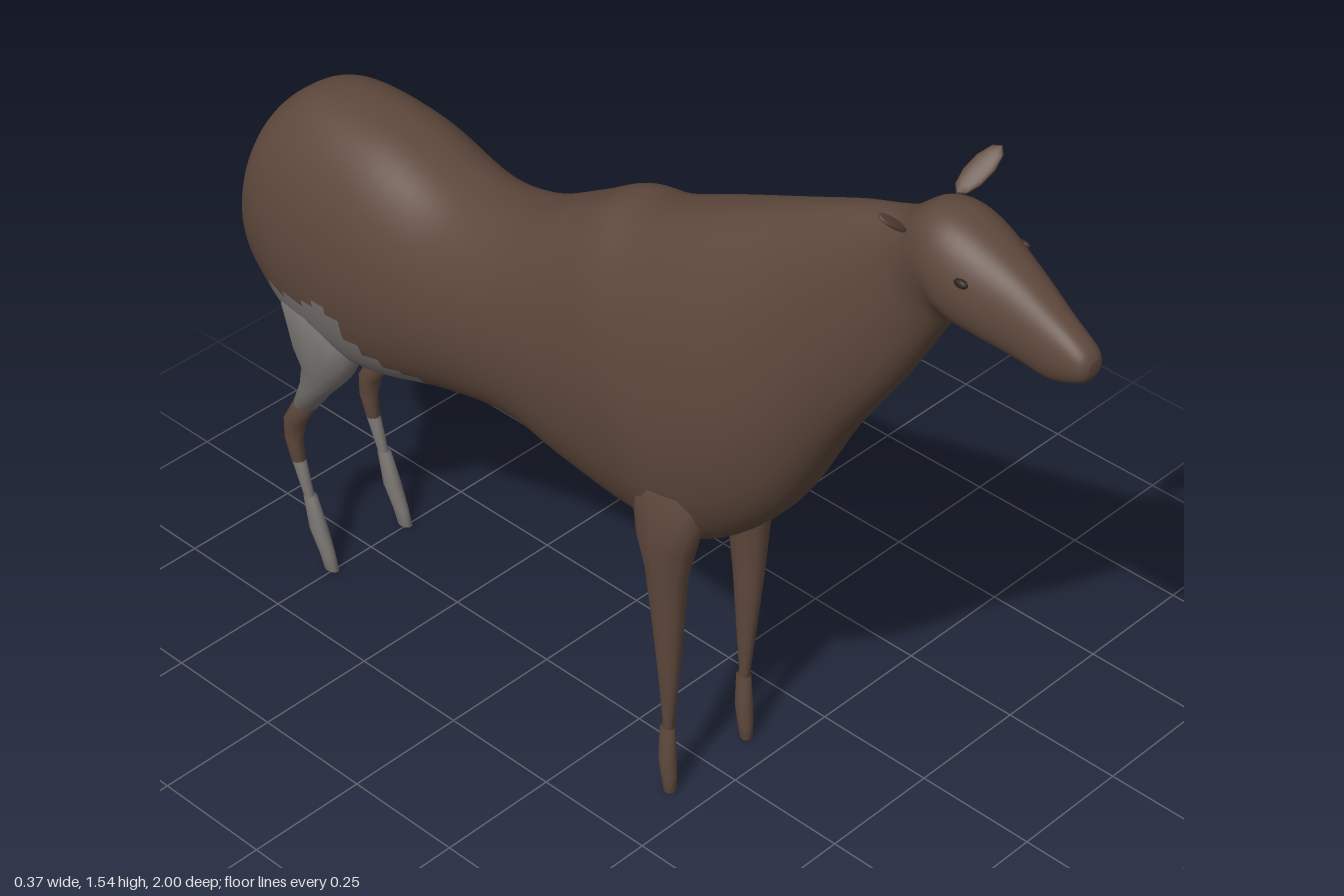
import * as THREE from 'three';

const brown = new THREE.MeshStandardMaterial({ color: 0x5e483c });
brown.name = 'brown coat';
const grey = new THREE.MeshStandardMaterial({ color: 0x77726f });
grey.name = 'grey hindquarter';
const dark = new THREE.MeshStandardMaterial({ color: 0x30251f });
dark.name = 'dark eye';

// Skin a list of closed rings, closing both ends; isSecond(centre) picks material 1
function loft(rings, isSecond) {
  const n = rings[0].length, pos = [], tris = [[], []];
  rings.forEach((r) => r.forEach((p) => pos.push(p.x, p.y, p.z)));
  const caps = [rings[0], rings[rings.length - 1]].map((r) => {
    const c = r.reduce((s, p) => s.add(p), new THREE.Vector3()).divideScalar(n);
    pos.push(c.x, c.y, c.z);
    return pos.length / 3 - 1;
  });
  const c = new THREE.Vector3();
  const last = (rings.length - 1) * n;
  for (let i = 0; i < n; i++) {
    const k = (i + 1) % n;
    for (let j = 0; j < rings.length - 1; j++) {
      c.addVectors(rings[j][i], rings[j + 1][k]).multiplyScalar(0.5);
      const a = j * n + i, b = j * n + k;
      tris[isSecond && isSecond(c) ? 1 : 0].push(a, a + n, b, b, a + n, b + n);
    }
    tris[0].push(caps[0], i, k, caps[1], last + k, last + i);
  }
  const g = new THREE.BufferGeometry();
  g.setAttribute('position', new THREE.Float32BufferAttribute(pos, 3));
  g.setIndex([...tris[0], ...tris[1]]);
  if (isSecond) {
    g.addGroup(0, tris[0].length, 0);
    g.addGroup(tris[0].length, tris[1].length, 1);
  }
  g.computeVertexNormals();
  return g;
}

// Catmull-Rom refinement of rows of numbers
function refine(rows, steps) {
  const out = [], at = (i) => rows[Math.min(Math.max(i, 0), rows.length - 1)];
  for (let i = 0; i < rows.length - 1; i++) {
    for (let s = 0; s < steps; s++) {
      const t = s / steps;
      out.push(rows[i].map((b, k) => {
        const a = at(i - 1)[k], c = at(i + 1)[k], d = at(i + 2)[k];
        return b + 0.5 * t * (c - a + t * (2 * a - 5 * b + 4 * c - d + t * (3 * (b - c) + d - a)));
      }));
    }
  }
  out.push(rows[rows.length - 1]);
  return out;
}

// Body, neck and head: top z, top y, bottom z, bottom y, half width
const sections = [
  [-0.955, 0.85, -0.955, 0.74, 0.07],
  [-0.93, 0.95, -0.935, 0.65, 0.12],
  [-0.87, 1.04, -0.89, 0.6, 0.155],
  [-0.77, 1.09, -0.78, 0.53, 0.177],
  [-0.6, 1.085, -0.62, 0.53, 0.182],
  [-0.42, 1.04, -0.42, 0.59, 0.165],
  [-0.27, 1.065, -0.24, 0.62, 0.16],
  [-0.13, 1.14, -0.1, 0.59, 0.165],
  [-0.03, 1.2, 0.08, 0.57, 0.175],
  [0.06, 1.22, 0.22, 0.585, 0.18],
  [0.2, 1.285, 0.37, 0.72, 0.16],
  [0.36, 1.36, 0.5, 0.95, 0.11],
  [0.49, 1.42, 0.61, 1.12, 0.08],
  [0.56, 1.445, 0.69, 1.26, 0.068],
  [0.61, 1.465, 0.73, 1.315, 0.072],
  [0.67, 1.51, 0.77, 1.315, 0.085],
  [0.74, 1.51, 0.81, 1.31, 0.08],
  [0.84, 1.465, 0.87, 1.3, 0.06],
  [0.93, 1.41, 0.93, 1.29, 0.043],
  [0.985, 1.375, 0.985, 1.31, 0.03],
  [1.0, 1.355, 1.0, 1.33, 0.014],
];

// Upper edge of the grey patch, as z, y
const greyEdge = [[-0.96, 0.63], [-0.9, 0.65], [-0.82, 0.69], [-0.72, 0.71],
  [-0.65, 0.74], [-0.58, 0.65], [-0.45, 0.62], [-0.38, 0.58]];
function inGrey(p) {
  for (let i = 0; i < greyEdge.length - 1; i++) {
    const [z0, y0] = greyEdge[i], [z1, y1] = greyEdge[i + 1];
    if (p.z >= z0 && p.z < z1) return p.y < y0 + ((y1 - y0) * (p.z - z0)) / (z1 - z0);
  }
  return false;
}

function bodyGeometry() {
  const n = 96;
  const rings = refine(sections, 5).map(([tz, ty, bz, by, w]) =>
    Array.from({ length: n }, (_, i) => {
      const a = (i / n) * Math.PI * 2, t = (1 - Math.cos(a)) / 2, s = Math.sin(a);
      return new THREE.Vector3(w * Math.sign(s) * Math.abs(s) ** 0.85,
        ty + (by - ty) * t, tz + (bz - tz) * t);
    }));
  return loft(rings, inGrey);
}

// Limb from horizontal rings: x, y, z, x radius, z radius
function limb(rows, n = 12) {
  return loft(rows.map(([x, y, z, rx, rz]) => Array.from({ length: n }, (_, i) => {
    const a = (i / n) * Math.PI * 2;
    return new THREE.Vector3(x + rx * Math.sin(a), y, z + rz * Math.cos(a));
  })));
}

export function createModel() {
  const model = new THREE.Group();
  const add = (name, geometry, material, parent = model) => {
    const m = new THREE.Mesh(geometry, material);
    m.name = name;
    parent.add(m);
    return m;
  };

  add('body', bodyGeometry(), [brown, grey]);

  const legParts = [
    ['frontLeg', brown, [[0.1, 0.74, 0.18, 0.06, 0.09], [0.107, 0.6, 0.172, 0.045, 0.064],
      [0.108, 0.53, 0.173, 0.035, 0.045], [0.107, 0.4, 0.176, 0.025, 0.033],
      [0.104, 0.27, 0.176, 0.017, 0.021], [0.103, 0.14, 0.175, 0.009, 0.009]]],
    ['frontHoof', brown, [[0.103, 0.155, 0.173, 0.013, 0.016], [0.104, 0.08, 0.174, 0.016, 0.019],
      [0.104, 0.04, 0.178, 0.014, 0.017], [0.104, 0.005, 0.181, 0.012, 0.013]]],
    ['thigh', grey, [[0.1, 0.66, -0.74, 0.06, 0.11], [0.1, 0.56, -0.735, 0.055, 0.085],
      [0.1, 0.51, -0.735, 0.045, 0.058], [0.1, 0.45, -0.768, 0.033, 0.038],
      [0.1, 0.39, -0.804, 0.025, 0.028]]],
    ['hock', brown, [[0.1, 0.4, -0.799, 0.025, 0.028], [0.1, 0.33, -0.842, 0.02, 0.026],
      [0.1, 0.285, -0.849, 0.017, 0.021], [0.1, 0.235, -0.838, 0.014, 0.016]]],
    ['hindShin', grey, [[0.1, 0.24, -0.839, 0.014, 0.016], [0.1, 0.14, -0.807, 0.009, 0.01]]],
    ['hindHoof', grey, [[0.1, 0.16, -0.81, 0.013, 0.015], [0.1, 0.09, -0.79, 0.017, 0.021],
      [0.1, 0.04, -0.768, 0.014, 0.018], [0.1, 0.004, -0.757, 0.012, 0.018]]],
  ];
  for (const side of [1, -1]) {
    const label = side > 0 ? 'left' : 'right';
    for (const [name, material, rows] of legParts) {
      add(`${label} ${name}`, limb(rows.map(([x, ...r]) => [x * side, ...r])), material);
    }
    // Thin leaf-shaped ear
    const ear = add(`${label} ear`, new THREE.SphereGeometry(1, 10, 8), brown);
    ear.scale.set(0.054, 0.006, 0.022);
    ear.position.set(0.106 * side, 1.51, 0.66);
    ear.rotation.set(0.35, 0, 0.7 * side);
    const eye = add(`${label} eye`, new THREE.SphereGeometry(1, 10, 8), dark);
    eye.scale.set(0.007, 0.008, 0.014);
    eye.position.set(0.077 * side, 1.437, 0.782);
  }

  // Tail with a small tuft
  const tail = new THREE.CatmullRomCurve3([[0.98, -0.92], [0.9, -0.958], [0.8, -0.976], [0.67, -0.985]]
    .map(([y, z]) => new THREE.Vector3(0, y, z)));
  add('tail', new THREE.TubeGeometry(tail, 16, 0.008, 8), brown);
  const tuft = add('tail tuft', new THREE.SphereGeometry(1, 10, 8), brown);
  tuft.scale.set(0.012, 0.045, 0.011);
  tuft.position.set(0, 0.665, -0.987);

  return model;
}
